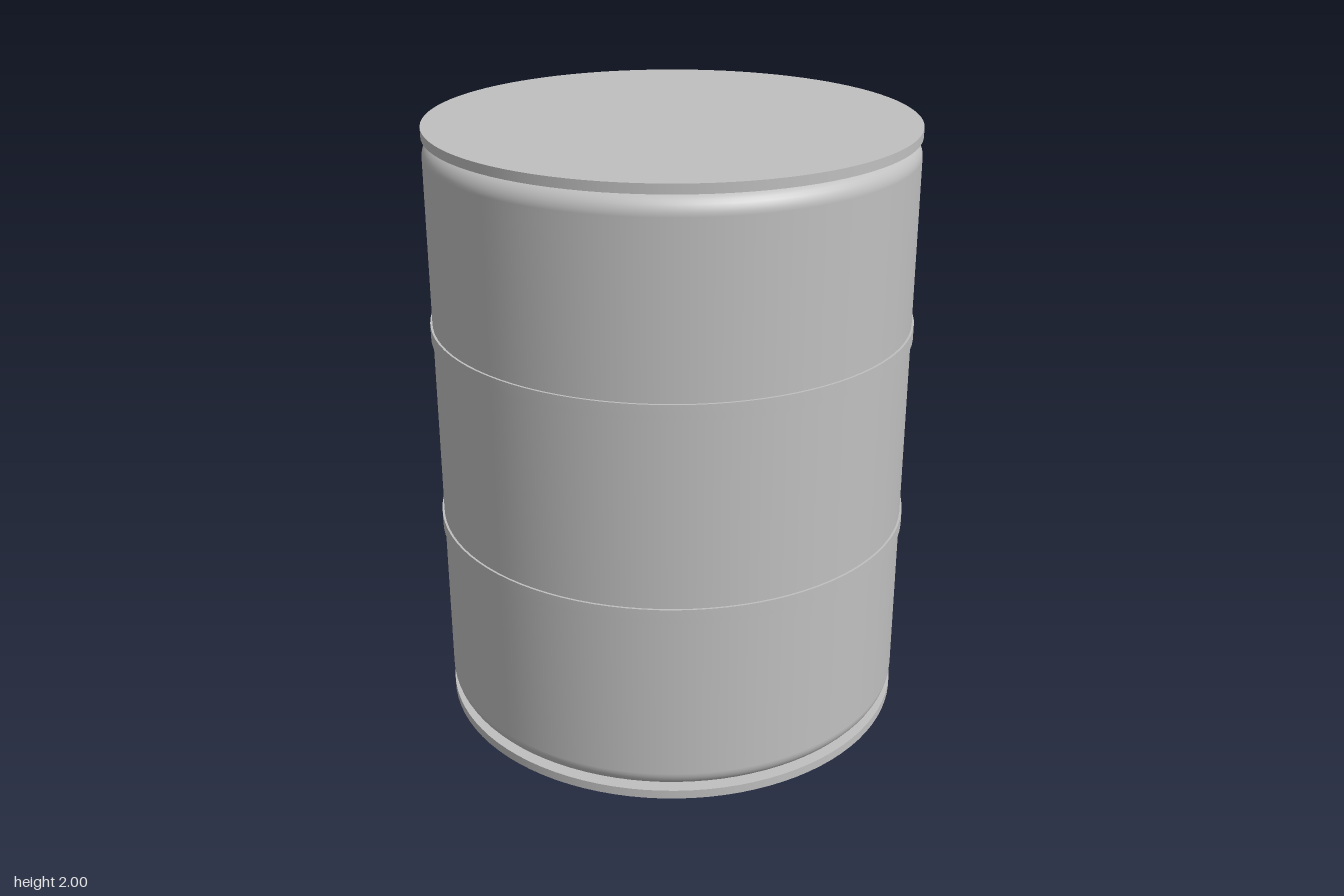
import * as THREE from 'three';
import { toCreasedNormals } from 'three/addons/utils/BufferGeometryUtils.js';

const SEGMENTS = 96;

export function createModel() {
  const drum = new THREE.Group();
  drum.name = 'drum';
  const steel = new THREE.MeshStandardMaterial({ color: 0xc0c0c0 });
  steel.name = 'grey steel';

  const add = (name, geometry, y = 0) => {
    const mesh = new THREE.Mesh(geometry, steel);
    mesh.name = name;
    mesh.position.y = y;
    drum.add(mesh);
  };

  // Barrel body with rounded shoulders, turned from bottom to top
  const radius = 0.78, low = 0.034, high = 1.966, fillet = 0.06, steps = 8;
  const profile = [new THREE.Vector2(0, low)];
  for (let i = 0; i <= steps; i++) {
    const a = -Math.PI / 2 + (i / steps) * Math.PI / 2;
    profile.push(new THREE.Vector2(radius - fillet + fillet * Math.cos(a), low + fillet + fillet * Math.sin(a)));
  }
  for (let i = 0; i <= steps; i++) {
    const a = (i / steps) * Math.PI / 2;
    profile.push(new THREE.Vector2(radius - fillet + fillet * Math.cos(a), high - fillet + fillet * Math.sin(a)));
  }
  profile.push(new THREE.Vector2(0, high));
  add('body', new THREE.LatheGeometry(profile, SEGMENTS));

  // Flat end discs, slightly overlapping the body at its centre
  const disc = new THREE.CylinderGeometry(radius, radius, 0.03, SEGMENTS);
  add('bottomDisc', disc, 0.015);
  add('topDisc', disc, 1.985);

  // Narrow core closing the gap between each disc and the body
  const core = new THREE.CylinderGeometry(0.7, 0.7, 0.01, SEGMENTS, 1, true);
  add('bottomSeam', core, 0.032);
  add('topSeam', core, 1.968);

  // Two shallow raised hoops with square edges
  const hoopProfile = [[0.775, -0.024], [0.787, -0.024], [0.787, 0.024], [0.775, 0.024]]
    .map(([x, y]) => new THREE.Vector2(x, y));
  const hoop = toCreasedNormals(new THREE.LatheGeometry(hoopProfile, SEGMENTS), 0.6);
  add('lowerHoop', hoop, 0.67);
  add('upperHoop', hoop, 1.338);

  return drum;
}
